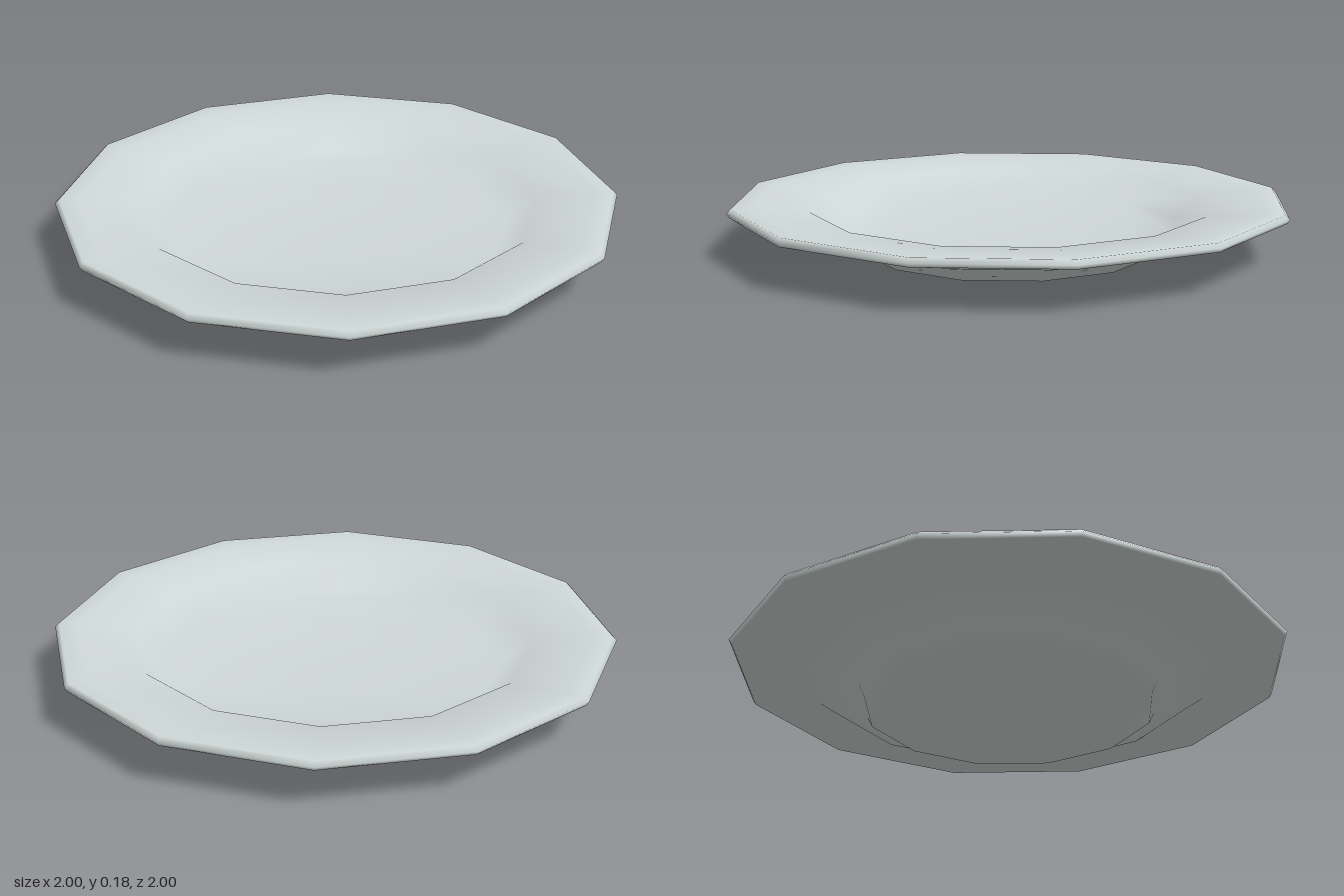
import * as THREE from 'three';

const SIDES = 12;

// Cross-section [radius, height]: from the foot, out under the rim, over the lip and into the well
const PROFILE = [
  [0.52, 0], [0.54, 0.04], [0.66, 0.07], [0.73, 0.12],
  [0.99, 0.15], [1, 0.165], [0.985, 0.18],
  [0.92, 0.175], [0.71, 0.157], [0.61, 0.08],
];

// Welded rings with flat end caps, so the shading flows over the whole surface
function plateGeometry() {
  const positions = [];
  const index = [];
  const at = (ring, side) => ring * SIDES + (side % SIDES);

  for (const [radius, height] of PROFILE) {
    for (let s = 0; s < SIDES; s++) {
      const a = (s / SIDES) * Math.PI * 2;
      positions.push(radius * Math.sin(a), height, radius * Math.cos(a));
    }
  }

  // walls between neighbouring rings
  for (let r = 0; r < PROFILE.length - 1; r++) {
    for (let s = 0; s < SIDES; s++) {
      const a = at(r, s), b = at(r, s + 1), c = at(r + 1, s + 1), d = at(r + 1, s);
      index.push(a, b, c, a, c, d);
    }
  }

  // underside of the foot and floor of the well, each closed by a zigzag strip
  const cap = (ring, up) => {
    const add = (i, j, k) => index.push(at(ring, i), at(ring, up ? j : k), at(ring, up ? k : j));
    for (let lo = 0, hi = SIDES - 1; hi - lo > 1; lo++, hi--) {
      add(lo, lo + 1, hi);
      if (hi - lo > 2) add(lo + 1, hi - 1, hi);
    }
  };
  cap(0, false);
  cap(PROFILE.length - 1, true);

  const geometry = new THREE.BufferGeometry();
  geometry.setAttribute('position', new THREE.Float32BufferAttribute(positions, 3));
  geometry.setIndex(index);
  geometry.computeVertexNormals();
  return geometry;
}

export function createModel() {
  const group = new THREE.Group();
  group.name = 'dinnerPlate';

  const ceramic = new THREE.MeshStandardMaterial({ color: 0xcfd9d7 });
  ceramic.name = 'pale grey ceramic';

  const plate = new THREE.Mesh(plateGeometry(), ceramic);
  plate.name = 'plate';
  group.add(plate);
  return group;
}
